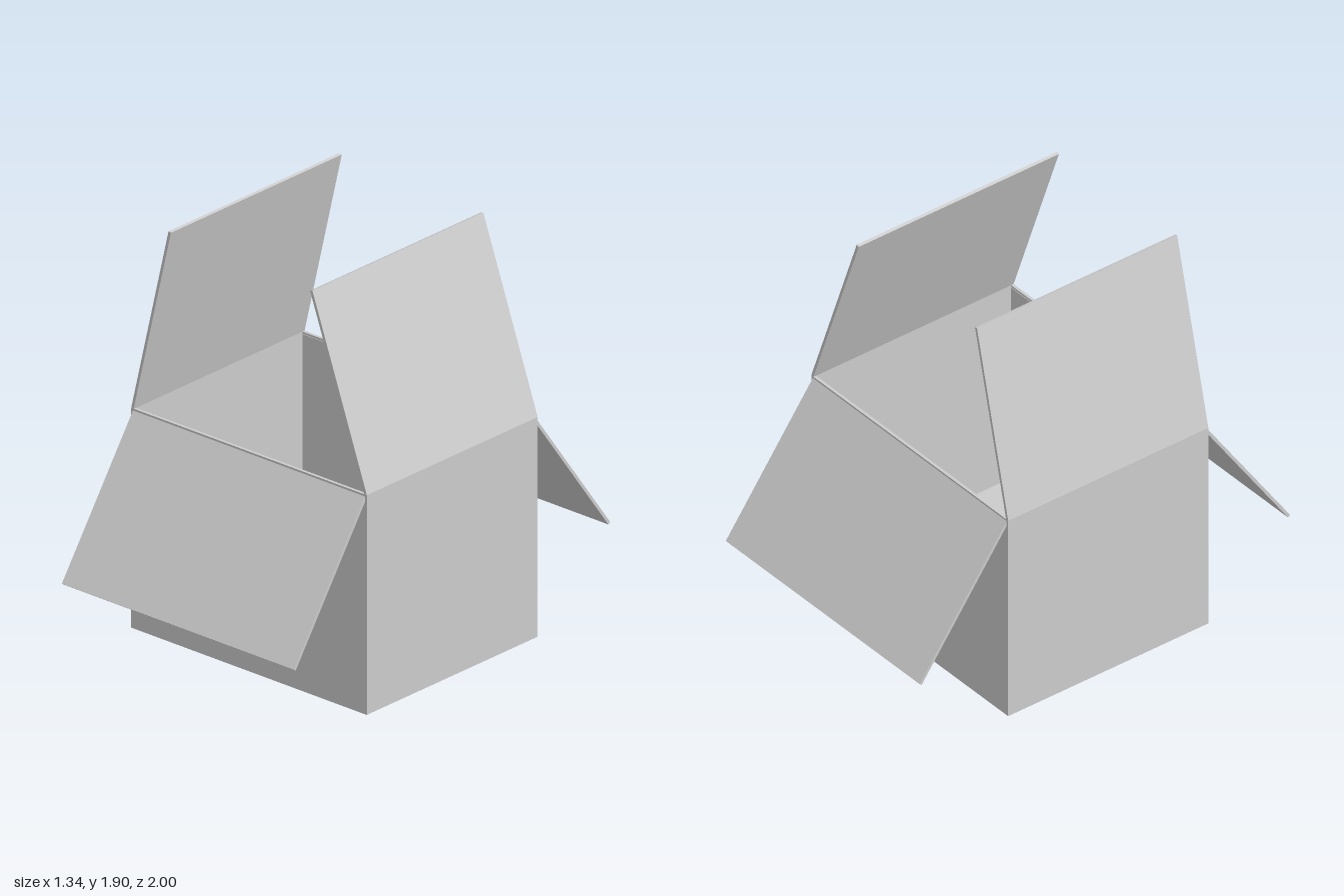
import * as THREE from 'three';

export function createModel() {
  const model = new THREE.Group();
  const card = new THREE.MeshStandardMaterial({ color: 0xcccccc, flatShading: true });
  const dark = new THREE.MeshStandardMaterial({ color: 0x1a1a1a });

  const X = 0.67, H = 1.02, BACK = -0.53, FRONT = 0.55, T = 0.014;
  const depth = FRONT - BACK, midZ = (FRONT + BACK) / 2;

  function box(name, w, h, d, x, y, z, material = card) {
    const mesh = new THREE.Mesh(new THREE.BoxGeometry(w, h, d), material);
    mesh.name = name;
    mesh.position.set(x, y, z);
    model.add(mesh);
    return mesh;
  }

  // Open carton: floor and four walls
  box('floor', 2 * X, T, depth, 0, T / 2, midZ);
  box('leftWall', T, H - T, depth, X - T / 2, (H + T) / 2, midZ);
  box('rightWall', T, H - T, depth, -X + T / 2, (H + T) / 2, midZ);
  box('frontWall', 2 * (X - T), H - T, T, 0, (H + T) / 2, FRONT - T / 2);
  box('backWall', 2 * (X - T), H - T, T, 0, (H + T) / 2, BACK + T / 2);

  // Side flaps, raised and leaning inward: hinge and tip in the x-y plane
  function sideFlap(name, x0, y0, x1, y1) {
    const flap = box(name, T, Math.hypot(x1 - x0, y1 - y0), depth, (x0 + x1) / 2, (y0 + y1) / 2, midZ);
    flap.rotation.z = -Math.atan2(x1 - x0, y1 - y0);
  }
  sideFlap('leftFlap', 0.663, 1.02, 0.354, 1.874);
  sideFlap('rightFlap', -0.663, 1.02, -0.451, 1.902);

  // End flaps, folded outward and down: hinge and tip in the z-y plane
  function endFlap(name, z0, y0, z1, y1) {
    const flap = box(name, 1.32, Math.hypot(z1 - z0, y1 - y0), T, 0, (y0 + y1) / 2, (z0 + z1) / 2);
    flap.rotation.x = Math.atan2(z1 - z0, y1 - y0);
  }
  endFlap('frontFlap', 0.54, 1.013, 0.994, 0.354);
  endFlap('backFlap', -0.52, 1.013, -0.994, 0.368);

  // Dark marking strips on the front, mostly beneath the flap
  box('lowerStrip', 0.59, 0.05, 0.012, 0, 0.35, 0.569, dark);
  box('upperStrip', 0.59, 0.09, 0.012, 0, 0.635, 0.569, dark);

  return model;
}
